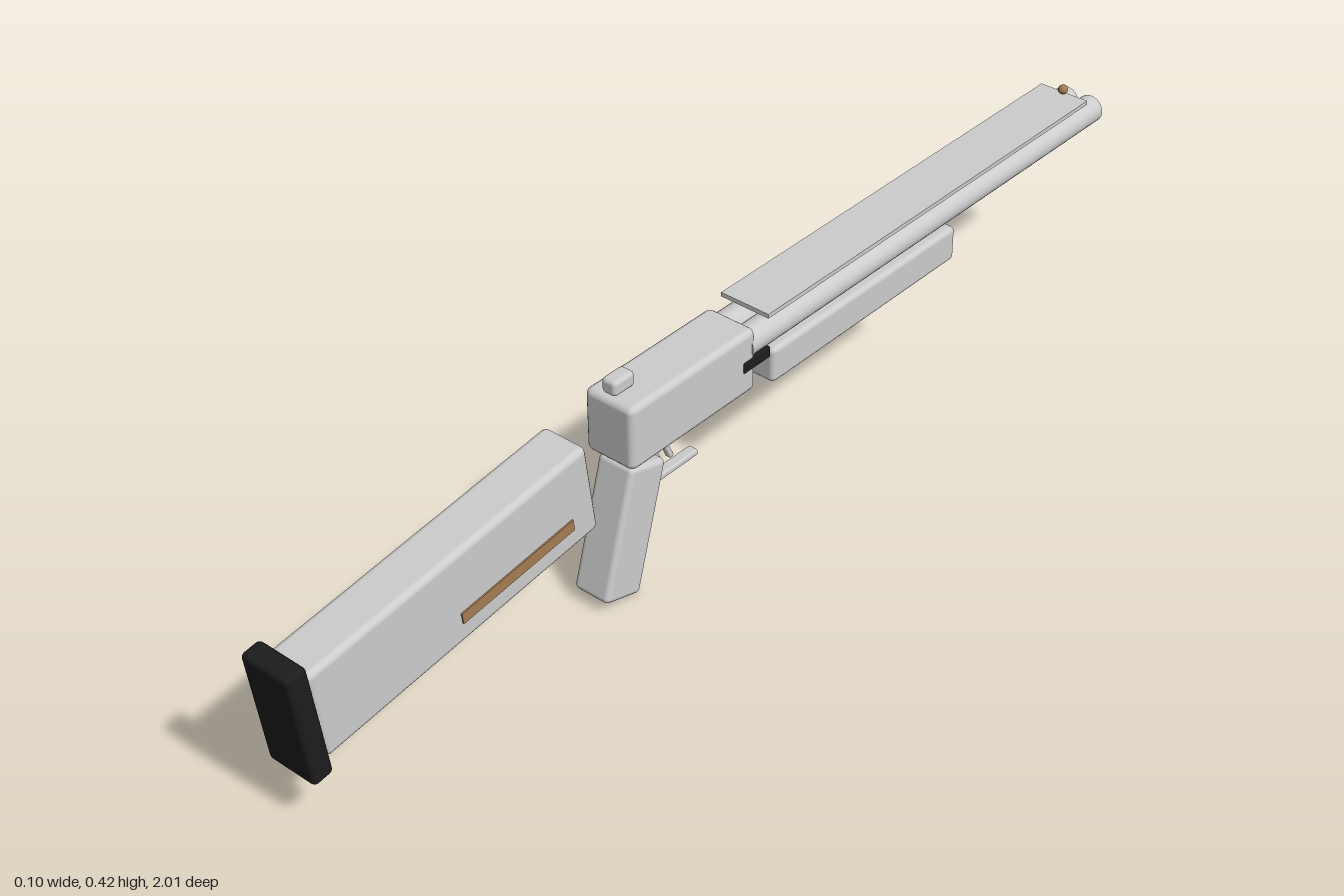
import * as THREE from 'three';
import { RoundedBoxGeometry } from 'three/addons/geometries/RoundedBoxGeometry.js';

export function createModel() {
  const mat = (name, color) => {
    const m = new THREE.MeshStandardMaterial({ color });
    m.name = name;
    return m;
  };
  const grey = mat('light grey', 0xcccccc);
  const black = mat('black', 0x1c1c1c);
  const bronze = mat('bronze', 0xa67c52);

  const model = new THREE.Group();
  model.name = 'doubleBarrelGun';

  const add = (name, geometry, material, x, y, z, parent = model) => {
    const mesh = new THREE.Mesh(geometry, material);
    mesh.name = name;
    mesh.position.set(x, y, z);
    parent.add(mesh);
    return mesh;
  };
  const block = (w, h, d, r) => new RoundedBoxGeometry(w, h, d, 2, r);

  // Buttstock with its end pad and side inlays, tilted as one
  const stock = new THREE.Group();
  stock.name = 'stock';
  stock.position.set(0, 0.249, 0.665);
  stock.rotation.x = 0.127;
  model.add(stock);
  add('buttstock', block(0.088, 0.172, 0.588, 0.012), grey, 0, 0, 0, stock);
  add('buttPad', block(0.1, 0.222, 0.04, 0.009), black, 0, 0, 0.31, stock);
  for (const side of [1, -1]) {
    add('stockInlay', new THREE.BoxGeometry(0.004, 0.021, 0.246), bronze, side * 0.0445, -0.037, -0.118, stock);
  }

  // Receiver and its top lever
  add('receiver', block(0.1, 0.12, 0.3, 0.012), grey, 0, 0.326, 0.14);
  add('topLever', block(0.03, 0.029, 0.048, 0.008), grey, 0, 0.4065, 0.264);

  // Pistol grip
  add('grip', block(0.074, 0.245, 0.085, 0.01), grey, 0, 0.13, 0.27).rotation.x = -0.288;

  // Two triggers above the guard bar
  for (const z of [0.184, 0.157]) {
    add('trigger', block(0.012, 0.05, 0.01, 0.003), grey, 0, 0.219, z).rotation.x = 0.42;
  }
  add('triggerGuard', block(0.02, 0.012, 0.13, 0.004), grey, 0, 0.174, 0.153);

  // Side-by-side barrels with dark bores
  const tube = new THREE.CylinderGeometry(0.026, 0.026, 0.997, 24).rotateX(Math.PI / 2);
  const bore = new THREE.CylinderGeometry(0.02, 0.02, 0.006, 24).rotateX(Math.PI / 2);
  for (const side of [1, -1]) {
    add('barrel', tube, grey, side * 0.026, 0.35, -0.4985);
    add('bore', bore, black, side * 0.026, 0.35, -0.997);
  }

  // Sighting rib and bead
  add('rib', new THREE.BoxGeometry(0.1, 0.008, 0.905), grey, 0, 0.392, -0.4925);
  add('beadSight', new THREE.SphereGeometry(0.009, 16, 12), bronze, 0, 0.404, -0.94);

  // Hinge block and forend
  add('hinge', block(0.104, 0.022, 0.068, 0.004), black, 0, 0.322, -0.011);
  add('forend', block(0.09, 0.068, 0.5, 0.01), grey, 0, 0.278, -0.31);

  return model;
}
